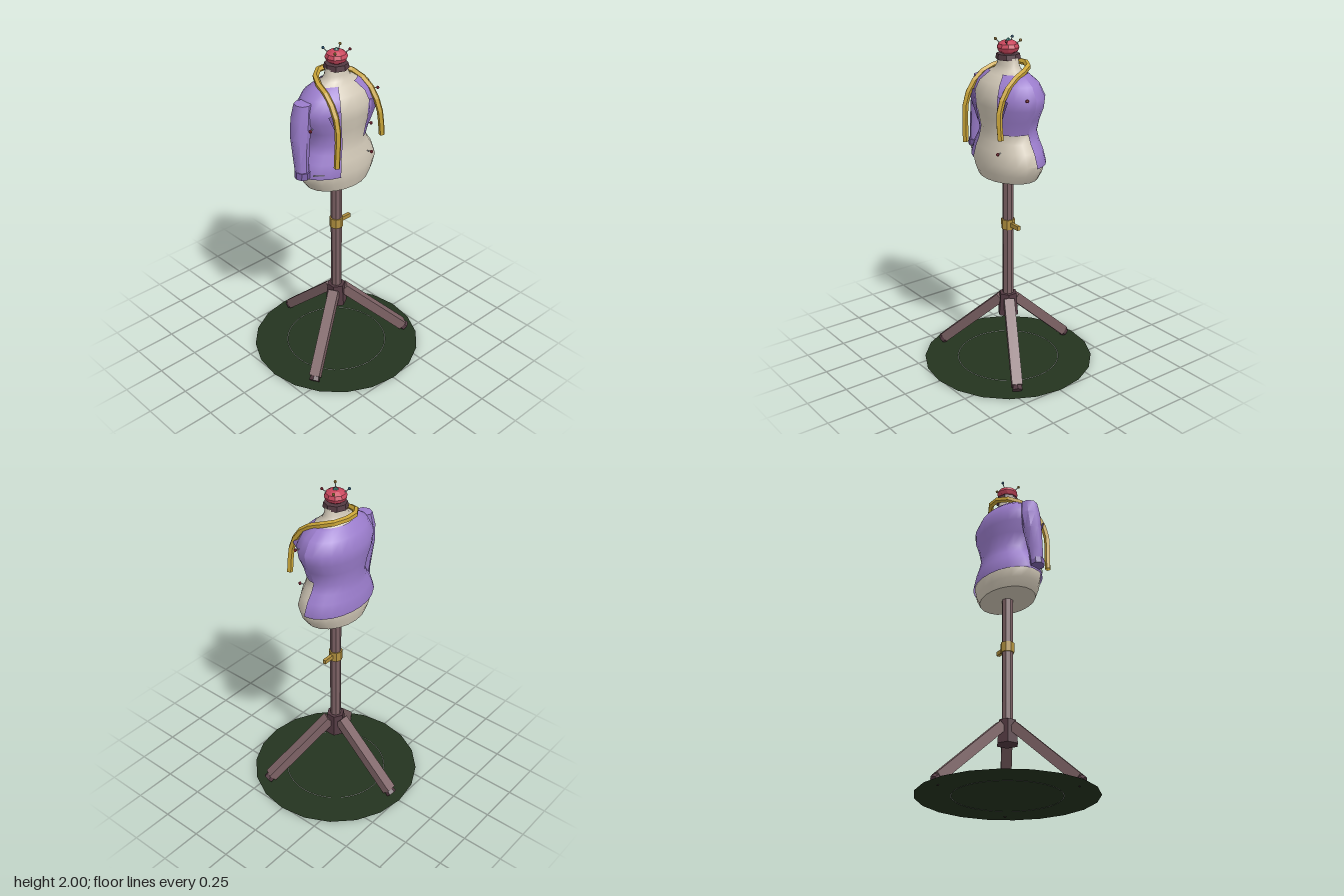
import * as THREE from 'three';
import { toCreasedNormals } from 'three/addons/utils/BufferGeometryUtils.js';

const mat = (color, flatShading = true, side = THREE.FrontSide) =>
  new THREE.MeshStandardMaterial({ color, flatShading, side });

const WOOD = mat(0x7d6265), DARK = mat(0x533a42), BRASS = mat(0xb39240);
const CREAM = mat(0xd0c7b6, false), PURPLE = mat(0x9a7ccb, false, THREE.DoubleSide);
const LAPEL = mat(0x7c61a8, true, THREE.DoubleSide), YELLOW = mat(0xc9a437, true, THREE.DoubleSide);
const RED = mat(0xc8465c), PIN = mat(0x9c3040), STEEL = mat(0xd8d8dc), TEAL = mat(0x3c7a72), BLUE = mat(0x3d7398);

// Torso cross-sections: height, half width, half depth
const TORSO = [
  [1.2, 0.205, 0.15], [1.25, 0.24, 0.162], [1.31, 0.262, 0.169], [1.38, 0.235, 0.157],
  [1.43, 0.2, 0.145], [1.48, 0.178, 0.139], [1.56, 0.205, 0.148], [1.63, 0.24, 0.16], [1.69, 0.25, 0.163],
  [1.76, 0.21, 0.133], [1.8, 0.15, 0.09], [1.825, 0.092, 0.063], [1.85, 0.077, 0.053], [1.89, 0.07, 0.046],
];

// Point on the torso at angle a (0 = front, towards +x) and height y, pushed out by off
function onTorso(a, y, off = 0) {
  let i = 0;
  while (i < TORSO.length - 2 && y > TORSO[i + 1][0]) i++;
  const [p, q] = [TORSO[i], TORSO[i + 1]];
  const t = (y - p[0]) / (q[0] - p[0]);
  const rx = p[1] + (q[1] - p[1]) * t + off, rz = p[2] + (q[2] - p[2]) * t + off;
  return new THREE.Vector3(rx * Math.sin(a), y, rz * Math.cos(a));
}

// Surface from a grid of points; u runs round, v runs up
function grid(nu, nv, fn, crease = 0.9) {
  const pos = [], index = [];
  for (let j = 0; j <= nv; j++) for (let i = 0; i <= nu; i++) pos.push(...fn(i / nu, j).toArray());
  for (let j = 0; j < nv; j++) for (let i = 0; i < nu; i++) {
    const a = j * (nu + 1) + i, b = a + nu + 1;
    index.push(a, a + 1, b + 1, a, b + 1, b);
  }
  const g = new THREE.BufferGeometry();
  g.setAttribute('position', new THREE.Float32BufferAttribute(pos, 3));
  g.setIndex(index);
  return toCreasedNormals(g, crease);
}

// Cloth panel following the torso
function panel(a0, a1, y0, y1, n) {
  const ys = [y0, ...TORSO.map((r) => r[0]).filter((y) => y > y0 + 0.005 && y < y1 - 0.005), y1];
  return grid(n, ys.length - 1, (u, j) => onTorso(a0 + (a1 - a0) * u, ys[j], 0.009));
}

// Closed loft through round sections [x, y, z, rx, rz], listed upwards
function loft(sections, n) {
  return grid(n, sections.length - 1, (u, j) => {
    const [x, y, z, rx, rz] = sections[j], a = u * Math.PI * 2;
    return new THREE.Vector3(x + rx * Math.sin(a), y, z + rz * Math.cos(a));
  }, 0.8);
}

export function createModel() {
  const model = new THREE.Group();
  const add = (name, geo, material, x = 0, y = 0, z = 0, parent = model) => {
    const m = new THREE.Mesh(geo, material);
    m.name = name;
    m.position.set(x, y, z);
    parent.add(m);
    return m;
  };
  const rod = (name, a, b, r, material) => {
    const d = b.clone().sub(a);
    const m = add(name, new THREE.CylinderGeometry(r, r, d.length(), 5), material);
    m.position.copy(a).addScaledVector(d, 0.5);
    m.quaternion.setFromUnitVectors(new THREE.Vector3(0, 1, 0), d.normalize());
  };

  // Floor mat with a chalk ring
  add('floorMat', new THREE.CircleGeometry(0.515, 20).rotateX(-Math.PI / 2),
    mat(0x24341f, true, THREE.DoubleSide), 0, 0.004, 0);
  add('chalkRing', new THREE.TorusGeometry(0.31, 0.0015, 4, 40).rotateX(Math.PI / 2), STEEL, 0, 0.004, 0);

  // Tripod stand
  add('column', new THREE.CylinderGeometry(0.033, 0.033, 0.9, 8), WOOD, 0, 0.76, 0);
  add('hub', new THREE.CylinderGeometry(0.055, 0.066, 0.14, 6), DARK, 0, 0.37, 0);
  for (const angle of [Math.PI, Math.PI / 3, -Math.PI / 3]) {
    const leg = new THREE.Group();
    leg.name = 'tripodLeg';
    leg.rotation.y = angle;
    model.add(leg);
    const tilt = Math.atan2(0.355, 0.385);
    add('legBar', new THREE.BoxGeometry(0.062, 0.058, 0.53), WOOD, 0, 0.222, 0.238, leg).rotation.x = tilt;
    add('foot', new THREE.CylinderGeometry(0.033, 0.026, 0.05, 6).rotateX(Math.PI / 2),
      DARK, 0, 0.04, 0.433, leg).rotation.x = tilt;
  }

  // Height clamp
  add('clamp', new THREE.CylinderGeometry(0.041, 0.041, 0.06, 8), BRASS, 0, 0.89, 0);
  add('clampHandle', new THREE.BoxGeometry(0.075, 0.026, 0.02), BRASS, 0.068, 0.89, 0);

  // Torso form, closed at both ends
  const rows = [[1.2, 0, 0], ...TORSO, [1.89, 0, 0]];
  add('torso', loft(rows.map(([y, rx, rz]) => [0, y, 0, rx, rz]), 20), CREAM);

  // Half-finished jacket: cropped left front, full right front and back
  const gap = 0.43;
  add('jacketLeftFront', panel(gap, Math.PI / 2, 1.48, 1.81, 5), PURPLE);
  add('jacketBackAndRight', panel(Math.PI / 2, Math.PI * 2 - gap, 1.3, 1.81, 16), PURPLE);
  for (const s of [1, -1]) {
    const g = new THREE.BufferGeometry().setFromPoints([
      onTorso(s * gap, 1.71, 0.012), onTorso(s * 0.52, 1.52, 0.014), onTorso(s * 0.74, 1.69, 0.032),
    ]);
    g.computeVertexNormals();
    add('lapel', g, LAPEL);
  }

  // Loose sleeve and cuff on the right
  add('sleeve', loft([
    [-0.282, 1.33, 0.025, 0, 0], [-0.282, 1.33, 0.025, 0.036, 0.038], [-0.28, 1.42, 0.018, 0.043, 0.045],
    [-0.272, 1.55, 0.005, 0.055, 0.055], [-0.258, 1.66, 0, 0.057, 0.06],
    [-0.245, 1.745, 0, 0.048, 0.05], [-0.245, 1.75, 0, 0, 0],
  ], 8), PURPLE);
  add('cuff', new THREE.CylinderGeometry(0.043, 0.043, 0.04, 8), LAPEL, -0.282, 1.333, 0.028).rotation.z = -0.1;
  rod('needle', new THREE.Vector3(-0.25, 1.33, 0.08), new THREE.Vector3(-0.2, 1.328, 0.118), 0.003, STEEL);

  // Measuring tape hung round the neck
  const tapePath = new THREE.CatmullRomCurve3([
    [-0.165, 1.39, 0.183], [-0.158, 1.62, 0.183], [-0.153, 1.7, 0.155], [-0.146, 1.78, 0.09],
    [-0.128, 1.825, -0.01], [-0.07, 1.845, -0.088], [0, 1.85, -0.102], [0.07, 1.845, -0.088],
    [0.128, 1.825, -0.01], [0.148, 1.78, 0.09], [0.156, 1.7, 0.155], [0.162, 1.62, 0.183], [0.177, 1.48, 0.185],
  ].map((p) => new THREE.Vector3(...p)));
  add('measuringTape', new THREE.TubeGeometry(tapePath, 18, 0.018, 5), YELLOW);

  // Neck cap and pincushion
  add('neckCap', new THREE.CylinderGeometry(0.066, 0.072, 0.03, 8), DARK, 0, 1.895, 0);
  add('pincushion', new THREE.SphereGeometry(0.065, 10, 6).scale(1, 0.62, 1), RED, 0, 1.945, 0);
  add('pincushionTop', new THREE.ConeGeometry(0.026, 0.024, 5), TEAL, 0, 1.986, 0);
  const heads = [[-0.042, -0.06, BLUE], [0.063, -0.038, BRASS], [-0.054, 0.048, BRASS], [0.052, 0.052, PIN]];
  for (const [x, z, material] of heads) {
    rod('pinShaft', new THREE.Vector3(x * 0.5, 1.955, z * 0.5), new THREE.Vector3(x, 1.988, z), 0.003, STEEL);
    add('pinHead', new THREE.SphereGeometry(0.009, 6, 4), material, x, 1.988, z);
  }

  // Pins holding the cloth
  const pins = [[-0.25, 1.6, 0.065], [0.258, 1.7, 0.065], [0.12, 1.38, 0.163], [0.125, 1.555, 0.15]];
  for (const p of pins) {
    add('clothPin', new THREE.SphereGeometry(0.01, 6, 4), PIN, ...p);
    rod('clothPinShaft', new THREE.Vector3(p[0] * 0.85, p[1], p[2] * 0.7), new THREE.Vector3(...p), 0.003, STEEL);
  }
  return model;
}
